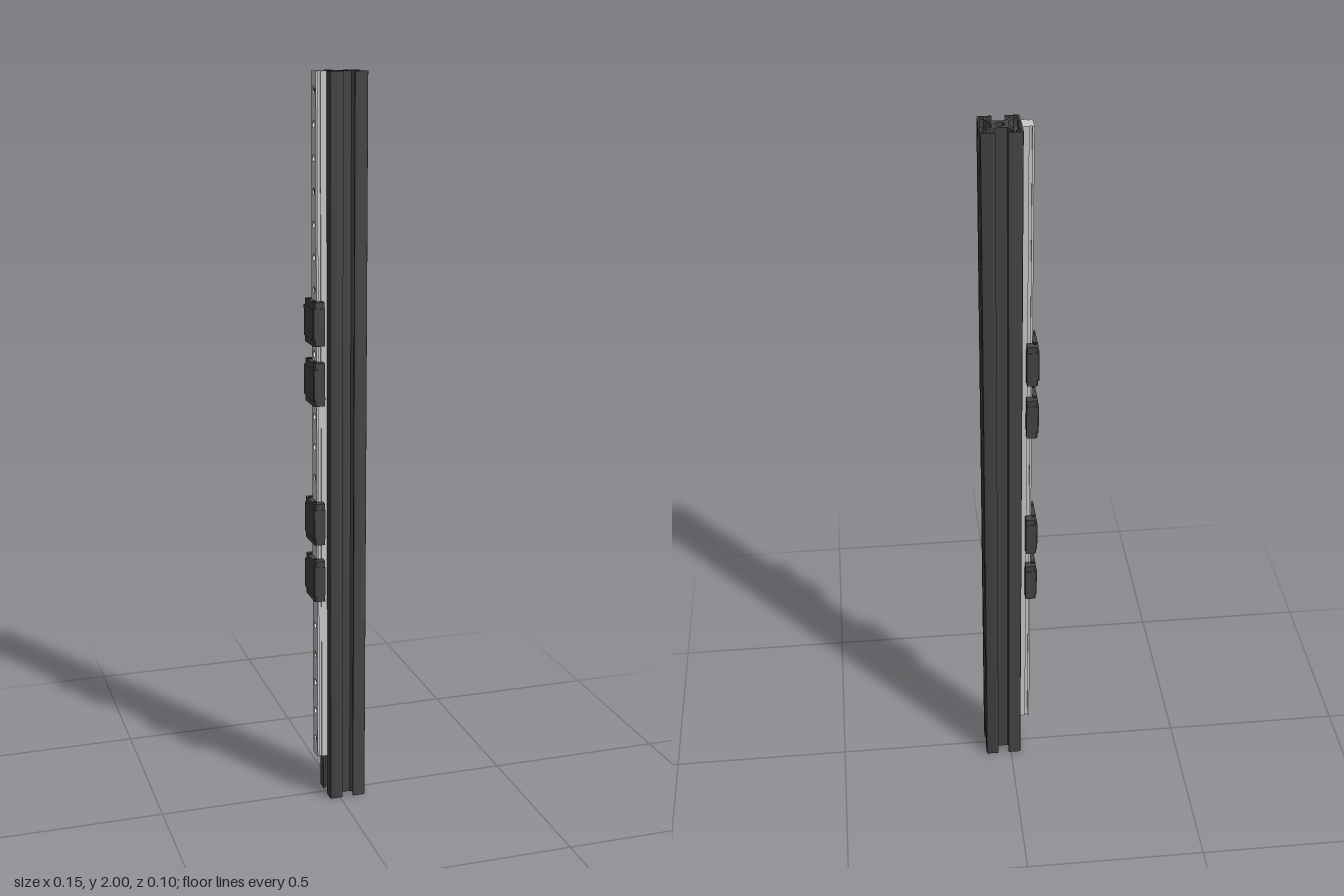
import * as THREE from 'three';
import { toCreasedNormals } from 'three/addons/utils/BufferGeometryUtils.js';

const dark = new THREE.MeshStandardMaterial({ color: 0x444444 });
const black = new THREE.MeshStandardMaterial({ color: 0x2a2a2a });
const grey = new THREE.MeshStandardMaterial({ color: 0xcccccc });

const CX = 0.022;          // centre of the extrusion
const FACE = CX - 0.051;   // face that carries the rail

function polygon(points) {
  return new THREE.Shape(points.map(([x, y]) => new THREE.Vector2(x, y)));
}

function circle(x, y, r) {
  return new THREE.Path().absarc(x, y, r, 0, Math.PI * 2, true);
}

function extrude(shape, depth, segments = 10) {
  const geo = new THREE.ExtrudeGeometry(shape, { depth, bevelEnabled: false, curveSegments: segments });
  return toCreasedNormals(geo, 0.7);
}

// Extrudes an (x, z) section upward from y0
function upright(shape, y0, height) {
  return extrude(shape, height).rotateX(-Math.PI / 2).translate(0, y0, 0);
}

function add(parent, name, geometry, material) {
  const mesh = new THREE.Mesh(geometry, material);
  mesh.name = name;
  parent.add(mesh);
  return mesh;
}

// Four-slot section: one corner, turned four times
function slottedProfile() {
  const half = [[0.021, 0.015], [0.0355, 0.0295], [0.045, 0.0295], [0.045, 0.0155],
    [0.051, 0.0155], [0.051, 0.047], [0.0498, 0.0498]];
  const mirrored = half.slice(0, -1).reverse().map(([x, y]) => [y, x]);
  const corner = [...half, ...mirrored];
  const cell = [[0.0345, 0.0345], [0.0345, 0.0455], [0.0455, 0.0455], [0.0455, 0.0345]];
  const outline = [];
  const holes = [circle(0, 0, 0.012)];
  for (let i = 0; i < 4; i++) {
    const c = Math.round(Math.cos(i * Math.PI / 2));
    const s = Math.round(Math.sin(i * Math.PI / 2));
    const turn = ([x, y]) => [c * x - s * y, s * x + c * y];
    outline.push(...corner.map(turn));
    holes.push(polygon(cell.map(turn)));
  }
  const shape = polygon(outline);
  shape.holes.push(...holes);
  return shape;
}

// Drilled slab of the rail between x0 and x1
function railSlab(x0, x1, halfWidth, y0, y1, holeYs, r) {
  const shape = polygon([[-halfWidth, y0], [halfWidth, y0], [halfWidth, y1], [-halfWidth, y1]]);
  for (const y of holeYs) shape.holes.push(circle(0, y, r));
  return extrude(shape, x1 - x0, 8).rotateY(Math.PI / 2).translate(x0, 0, 0);
}

// U section that wraps the rail
function carriageSection(outerX, innerX, halfWidth, bevel) {
  const side = [[-0.0585, 0.0225], [innerX, 0.0225], [innerX, halfWidth],
    [outerX + bevel, halfWidth], [outerX, halfWidth - bevel]];
  return polygon([...side, ...side.slice().reverse().map(([x, z]) => [x, -z])]);
}

function buildCarriage(y) {
  const carriage = new THREE.Group();
  carriage.name = 'carriage';
  carriage.position.y = y;
  add(carriage, 'carriageBody', upright(carriageSection(-0.073, -0.041, 0.0455, 0.002), -0.041, 0.082), dark);
  for (const s of [-1, 1]) {
    const cap = carriageSection(-0.0705, -0.0415, 0.044, 0.004);
    add(carriage, 'carriageEndCap', upright(cap, s > 0 ? 0.041 : -0.058, 0.017), dark);
    for (const z of [-0.025, 0.025]) {
      const screw = add(carriage, 'capScrew', new THREE.CylinderGeometry(0.0055, 0.0055, 0.003, 12), black);
      screw.position.set(-0.0635, s * 0.0585, z);
    }
  }
  return carriage;
}

export function createModel() {
  const model = new THREE.Group();

  // Upright extrusion
  add(model, 'extrusion', upright(slottedProfile(), 0, 2).translate(CX, 0, 0), dark);

  // Linear rail: base, waist and head, with counterbored holes
  const rail = new THREE.Group();
  rail.name = 'linearRail';
  model.add(rail);
  const holeYs = Array.from({ length: 22 }, (_, i) => 0.1675 + i * 0.085);
  add(rail, 'railBase', railSlab(-0.045, FACE, 0.0215, 0.12, 2, holeYs, 0.006), grey);
  add(rail, 'railWaist', railSlab(-0.052, -0.045, 0.0175, 0.12, 2, holeYs, 0.0095), grey);
  add(rail, 'railHead', railSlab(-0.0575, -0.052, 0.0215, 0.12, 2, holeYs, 0.0095), grey);

  // Screw and slot nut at every third hole
  const nutSection = polygon([[-0.022, -0.027], [-0.011, -0.027], [0, -0.0155],
    [0, 0.0155], [-0.011, 0.027], [-0.022, 0.027]]);
  holeYs.filter((_, i) => i % 3 === 0).forEach((y) => {
    const head = add(model, 'railScrewHead', new THREE.CylinderGeometry(0.009, 0.009, 0.009, 14), black);
    head.rotation.z = Math.PI / 2;
    head.position.set(-0.0495, y, 0);
    const shank = add(model, 'railScrewShank', new THREE.CylinderGeometry(0.005, 0.005, 0.036, 12), black);
    shank.rotation.z = Math.PI / 2;
    shank.position.set(-0.029, y, 0);
    add(model, 'slotNut', upright(nutSection, y - 0.025, 0.05), grey);
  });

  // Carriages in two pairs
  for (const y of [0.65, 0.812, 1.197, 1.358]) model.add(buildCarriage(y));

  return model;
}
